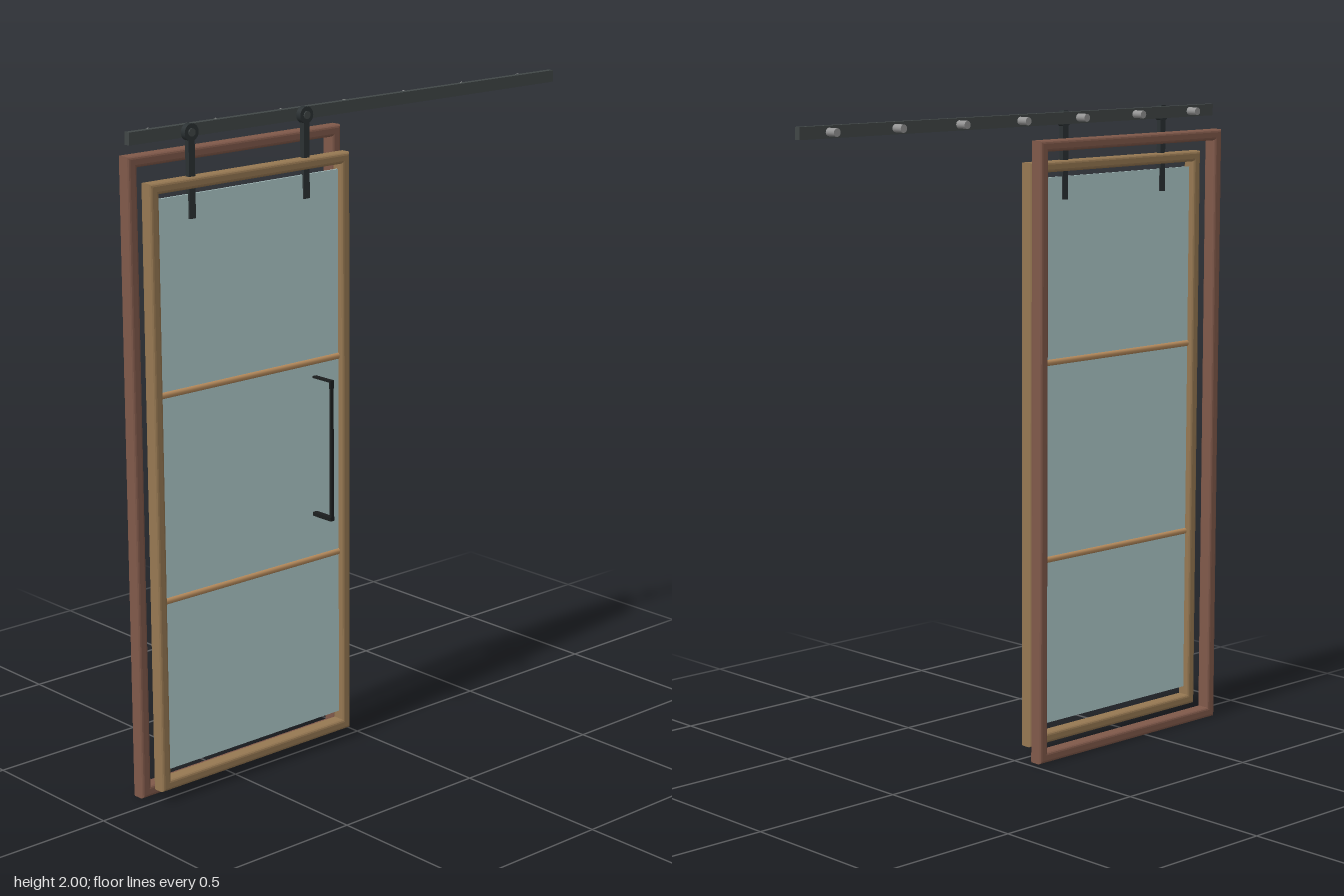
import * as THREE from 'three';

const flat = (name, color) => {
  const m = new THREE.MeshStandardMaterial({ color });
  m.name = name;
  return m;
};

export function createModel() {
  const model = new THREE.Group();
  model.name = 'slidingDoor';
  const redWood = flat('redBrownWood', 0x80594a);
  const wood = flat('lightBrownWood', 0x967852);
  const barWood = flat('orangeWood', 0xb98d5e);
  const glass = flat('paleGlass', 0xb0cbcb);
  const steel = flat('railSteel', 0x414747);
  const dark = flat('darkMetal', 0x2b3133);
  const black = flat('blackMetal', 0x1b1e1f);
  const grey = flat('greyMetal', 0x949494);

  const add = (name, geo, mat, x = 0, y = 0, z = 0, parent = model) => {
    const mesh = new THREE.Mesh(geo, mat);
    mesh.name = name;
    mesh.position.set(x, y, z);
    parent.add(mesh);
    return mesh;
  };
  const box = (name, mat, w, h, d, x, y, z, parent) =>
    add(name, new THREE.BoxGeometry(w, h, d), mat, x, y, z, parent);
  const disc = (name, mat, r, d, sides, x, y, z, parent) =>
    add(name, new THREE.CylinderGeometry(r, r, d, sides).rotateX(Math.PI / 2), mat, x, y, z, parent);

  // Rectangular frame with softened edges and mitred corners
  const rect = (P, x0, y0, x1, y1) => {
    const p = new P();
    p.moveTo(x0, y0); p.lineTo(x1, y0); p.lineTo(x1, y1); p.lineTo(x0, y1);
    p.closePath();
    return p;
  };
  const frame = (name, mat, x0, y0, x1, y1, w, z0, z1, b = 0.009) => {
    const s = rect(THREE.Shape, x0, y0, x1, y1);
    s.holes.push(rect(THREE.Path, x0 + w, y0 + w, x1 - w, y1 - w));
    const geo = new THREE.ExtrudeGeometry(s, {
      depth: z1 - z0 - 2 * b, bevelEnabled: true, bevelThickness: b,
      bevelSize: b, bevelOffset: -b, bevelSegments: 3,
    });
    return add(name, geo, mat, 0, 0, z0 + b);
  };

  // Wall opening frame and door leaf frame
  frame('openingFrame', redWood, -0.822, 0, -0.026, 1.92, 0.034, -0.088, -0.042);
  frame('doorFrame', wood, -0.798, 0.035, -0.05, 1.85, 0.033, -0.02, 0.025);

  // Glass pane and two cross bars
  const midX = -0.424, midZ = 0.003;
  box('glassPane', glass, 0.686, 1.707, 0.006, midX, 0.947, midZ);
  for (const y of [0.617, 1.234]) {
    add('crossBar', new THREE.CylinderGeometry(0.01, 0.01, 0.686, 10).rotateZ(Math.PI / 2),
      barWood, midX, y, midZ);
  }

  // Overhead rail with wall spacers
  box('rail', steel, 1.685, 0.036, 0.02, -0.002, 1.978, -0.015);
  for (let i = -3; i <= 3; i++) {
    disc('wallSpacer', grey, 0.012, 0.036, 16, i * 0.245, 1.978, -0.043);
  }

  // Hangers with rollers
  for (const x of [-0.638, -0.21]) {
    const hanger = new THREE.Group();
    hanger.name = 'hanger';
    hanger.position.x = x;
    model.add(hanger);
    box('hangerStrap', dark, 0.022, 0.245, 0.016, 0, 1.8525, 0.004, hanger);
    disc('roller', dark, 0.025, 0.018, 20, 0, 1.975, 0.004, hanger);
    disc('rollerBolt', steel, 0.012, 0.004, 12, 0, 1.975, 0.014, hanger);
  }

  // Pull handle: slim grip, thin upper arm, thicker lower arm
  const handle = new THREE.Group();
  handle.name = 'pullHandle';
  handle.position.x = -0.18;
  model.add(handle);
  box('grip', black, 0.01, 0.43, 0.008, 0, 0.973, 0.083, handle);
  box('upperArm', black, 0.014, 0.006, 0.08, 0, 1.187, 0.047, handle);
  box('lowerArm', black, 0.016, 0.012, 0.08, 0, 0.76, 0.047, handle);
  box('gripEnd', black, 0.014, 0.025, 0.008, 0, 1.178, 0.083, handle);

  return model;
}
